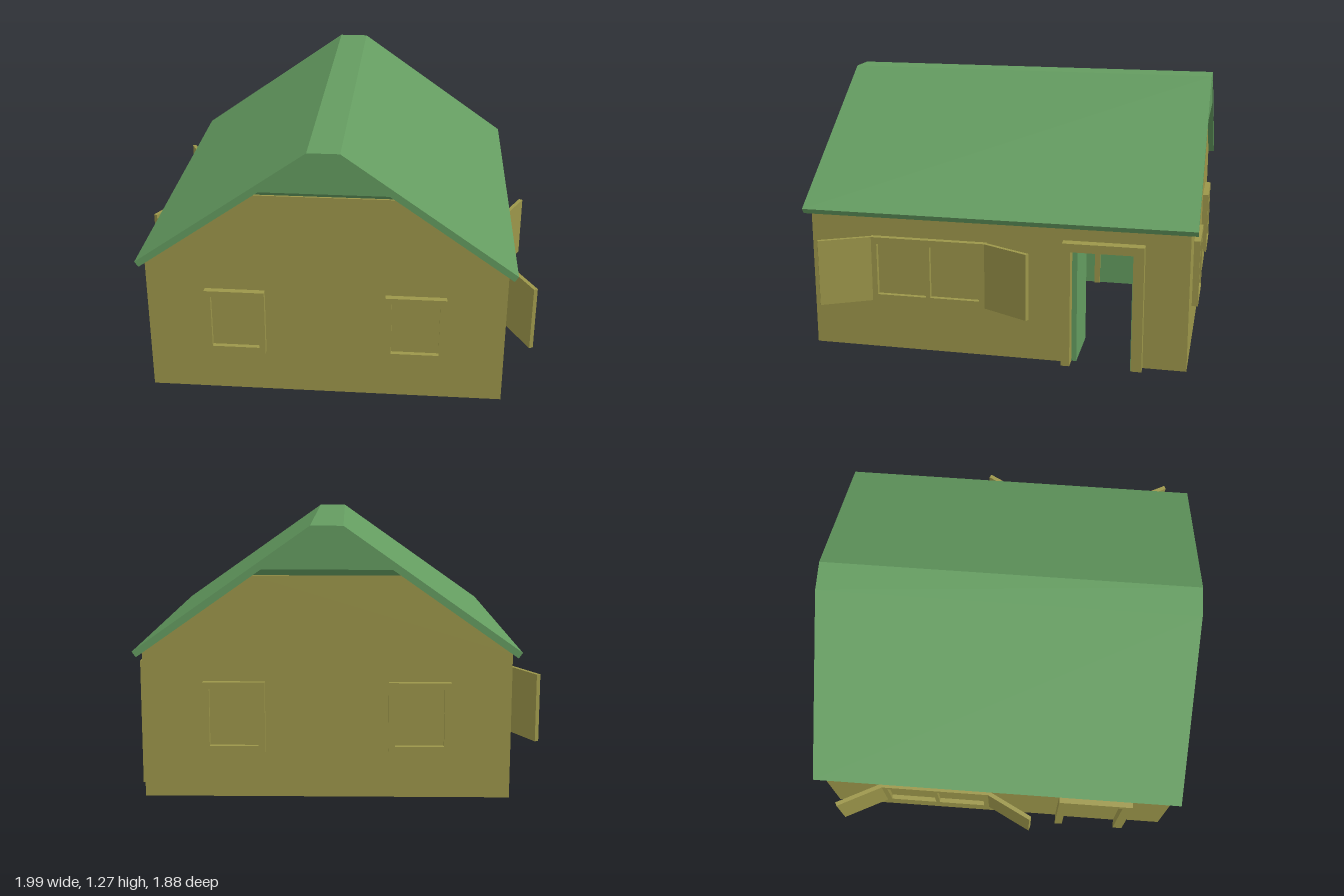
import * as THREE from 'three';

const wallMat = new THREE.MeshStandardMaterial({ color: 0x9c964a, flatShading: true });
const greenMat = new THREE.MeshStandardMaterial({ color: 0x649c60, flatShading: true });

// Box given by its limits on each axis
function box(parent, name, mat, [x0, x1], [y0, y1], [z0, z1]) {
  const m = new THREE.Mesh(new THREE.BoxGeometry(x1 - x0, y1 - y0, z1 - z0), mat);
  m.position.set((x0 + x1) / 2, (y0 + y1) / 2, (z0 + z1) / 2);
  m.name = name;
  parent.add(m);
  return m;
}

const shapeOf = pts => new THREE.Shape(pts.map(p => new THREE.Vector2(p[0], p[1])));

function extrude(parent, name, mat, pts, depth, z) {
  const geo = new THREE.ExtrudeGeometry(shapeOf(pts), { depth, bevelEnabled: false });
  geo.translate(0, 0, z);
  const m = new THREE.Mesh(geo, mat);
  m.name = name;
  parent.add(m);
  return m;
}

// Four bars around an opening, in the xy plane, facing +z
function frame(parent, name, [x0, x1], [y0, y1], [z0, z1], t) {
  const s = shapeOf([[x0, y0], [x1, y0], [x1, y1], [x0, y1]]);
  s.holes.push(new THREE.Path([[x0 + t, y0 + t], [x0 + t, y1 - t], [x1 - t, y1 - t], [x1 - t, y0 + t]]
    .map(p => new THREE.Vector2(p[0], p[1]))));
  const geo = new THREE.ExtrudeGeometry(s, { depth: z1 - z0, bevelEnabled: false });
  geo.translate(0, 0, z0);
  const m = new THREE.Mesh(geo, wallMat);
  m.name = name;
  parent.add(m);
}

// End wall with its two windows and the small gable above it, facing +z
function endWall() {
  const g = new THREE.Group();
  extrude(g, 'endWall', wallMat,
    [[-0.85, 0], [0.85, 0], [0.85, 0.68], [0.35, 1.04], [-0.35, 1.04], [-0.85, 0.68]], 0.015, 0.895);
  for (const s of [-1, 1]) {
    const c = s * 0.428;
    frame(g, 'endWindowFrame', [c - 0.143, c + 0.143], [0.22, 0.55], [0.89, 0.94], 0.03);
    box(g, 'endWindowPane', wallMat, [c - 0.113, c + 0.113], [0.25, 0.52], [0.892, 0.917]);
  }
  const gable = extrude(g, 'gable', greenMat,
    [[-0.35, 1.07], [0.35, 1.07], [0.075, 1.264], [-0.075, 1.264]], 0.04, 0.9);
  // Slope the underside of the gable down to the wall top
  const p = gable.geometry.attributes.position;
  for (let i = 0; i < p.count; i++)
    if (p.getZ(i) < 0.92 && p.getY(i) < 1.08) p.setY(i, 1.04);
  gable.geometry.computeVertexNormals();
  return g;
}

// Side wall facing +x, with door near the back and shuttered window
function sideWall(open) {
  const g = new THREE.Group();
  const X = [0.835, 0.85];
  box(g, 'sideWall', wallMat, X, [0, 0.68], [-0.365, 0.91]);
  box(g, 'sideWall', wallMat, X, [0, 0.68], [-0.91, -0.655]);
  box(g, 'sideWall', wallMat, X, [0.565, 0.68], [-0.655, -0.365]);

  // Door casing
  box(g, 'doorPost', wallMat, [0.8, 0.9], [0, 0.605], [-0.365, -0.325]);
  box(g, 'doorPost', wallMat, [0.8, 0.9], [0, 0.605], [-0.705, -0.655]);
  box(g, 'doorLintel', wallMat, [0.8, 0.9], [0.565, 0.605], [-0.655, -0.365]);
  if (open) {
    box(g, 'openDoor', greenMat, [0.56, 0.845], [0.005, 0.56], [-0.39, -0.366]);
    box(g, 'doorJamb', greenMat, [0.79, 0.895], [0, 0.565], [-0.657, -0.652]);
  } else {
    box(g, 'closedDoor', wallMat, [0.835, 0.855], [0, 0.565], [-0.655, -0.365]);
  }

  // Two-pane window, built facing +z and turned to +x
  const win = new THREE.Group();
  win.name = 'sideWindow';
  win.rotation.y = Math.PI / 2;
  g.add(win);
  frame(win, 'sideWindowFrame', [-0.61, -0.04], [0.25, 0.57], [0.83, 0.88], 0.033);
  box(win, 'sideWindowMullion', wallMat, [-0.335, -0.315], [0.283, 0.537], [0.83, 0.88]);
  box(win, 'sideWindowPane', wallMat, [-0.577, -0.073], [0.283, 0.537], [0.832, 0.857]);

  // Shutters swung outwards
  for (const [z, s] of [[0.59, 1], [0.06, -1]]) {
    const hinge = new THREE.Group();
    hinge.name = 'shutter';
    hinge.position.set(0.862, 0, z);
    hinge.rotation.y = s * 0.47;
    box(hinge, 'shutterPanel', wallMat, [-0.01, 0.01], [0.25, 0.57], s > 0 ? [0, 0.27] : [-0.27, 0]);
    g.add(hinge);
  }
  return g;
}

export function createModel() {
  const house = new THREE.Group();
  house.name = 'house';

  // Both ends and both sides repeat under a half turn
  for (const turn of [0, Math.PI]) {
    const e = endWall();
    e.name = turn ? 'backEnd' : 'frontEnd';
    e.rotation.y = turn;
    const s = sideWall(!turn);
    s.name = turn ? 'rightSide' : 'leftSide';
    s.rotation.y = turn;
    house.add(e, s);
  }

  // Roof shell with a flat ridge
  extrude(house, 'roof', greenMat, [
    [0.89, 0.693], [0.075, 1.267], [-0.075, 1.267], [-0.89, 0.693],
    [-0.872, 0.667], [-0.065, 1.233], [0.065, 1.233], [0.872, 0.667],
  ], 1.884, -0.942);

  // Partition between the two rooms, with a framed inner door
  box(house, 'partition', greenMat, [-0.295, -0.28], [0, 1.06], [-0.895, 0.895]);
  box(house, 'partitionBack', wallMat, [-0.305, -0.295], [0, 1.05], [-0.895, 0.895]);
  for (const z of [-0.33, -0.69])
    box(house, 'innerDoorPost', wallMat, [-0.31, -0.265], [0, 0.6], [z - 0.015, z + 0.015]);
  box(house, 'innerDoorLintel', wallMat, [-0.31, -0.265], [0.57, 0.6], [-0.675, -0.345]);

  // Green lining of the larger room
  for (const s of [-1, 1]) {
    const lining = extrude(house, 'roomLining', greenMat,
      [[-0.28, 0], [0.832, 0], [0.832, 0.68], [0.35, 1.02], [-0.28, 1.02]], 0.006, -0.003);
    lining.position.z = s * 0.889;
  }
  const L = [0.828, 0.834];
  box(house, 'roomLining', greenMat, L, [0, 0.67], [-0.365, 0.89]);
  box(house, 'roomLining', greenMat, L, [0, 0.67], [-0.89, -0.655]);
  box(house, 'roomLining', greenMat, L, [0.565, 0.67], [-0.655, -0.365]);

  return house;
}
